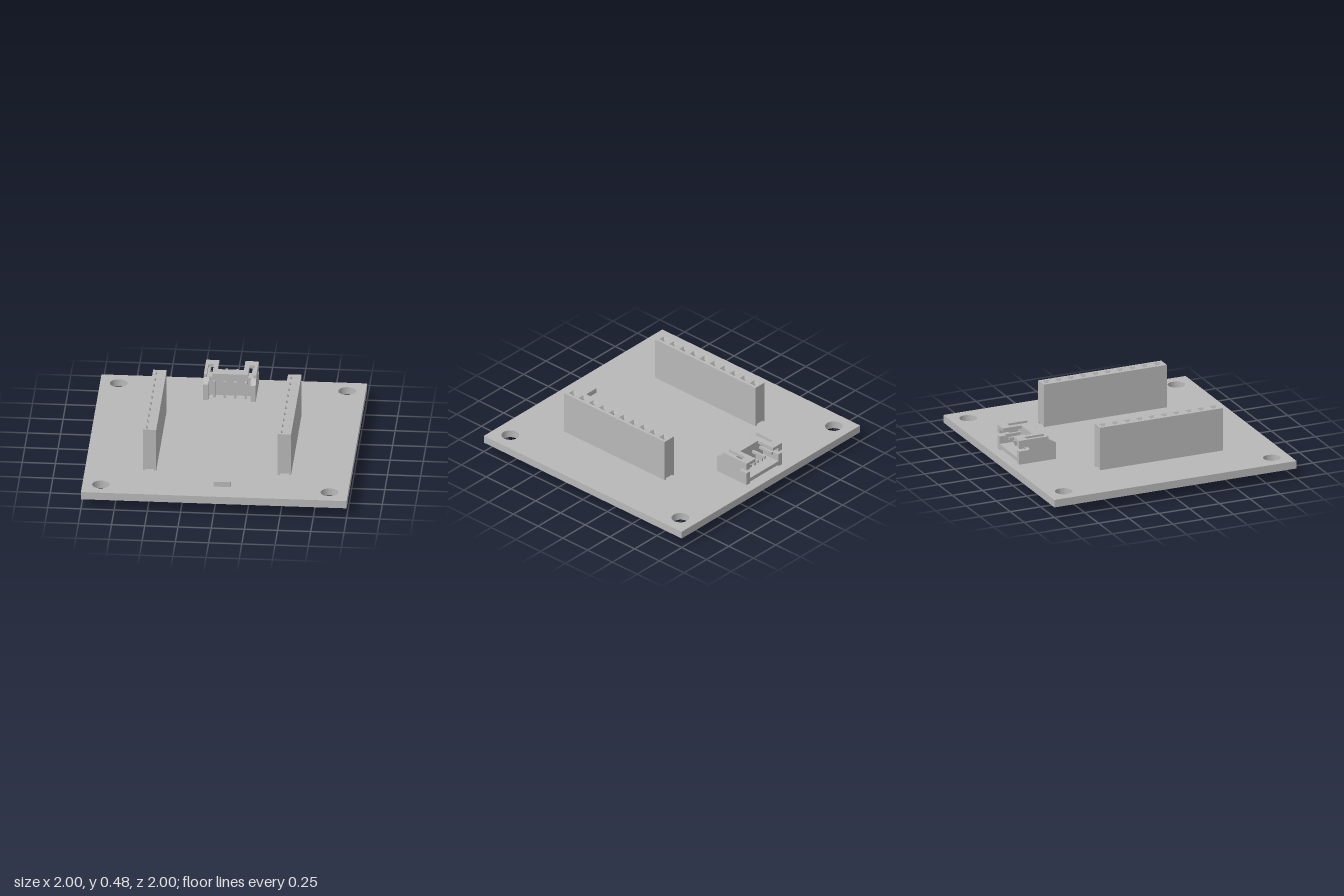
import * as THREE from 'three';

const grey = new THREE.MeshStandardMaterial({ color: 0xb8b8b8, side: THREE.DoubleSide });
grey.name = 'plain grey';

const PITCH = 0.1016;
const BOARD_TOP = 0.14;

function add(parent, name, geometry) {
  const mesh = new THREE.Mesh(geometry, grey);
  mesh.name = name;
  parent.add(mesh);
  return mesh;
}

// Box given by its lower and upper corners
function block(parent, name, x0, x1, y0, y1, z0, z1) {
  const mesh = add(parent, name, new THREE.BoxGeometry(x1 - x0, y1 - y0, z1 - z0));
  mesh.position.set((x0 + x1) / 2, (y0 + y1) / 2, (z0 + z1) / 2);
  return mesh;
}

const outline = (points) => points.map(([a, b]) => new THREE.Vector2(a, b));

// Plan outline in (x, z), raised from y0 to y1
function planGeometry(points, holes, y0, y1) {
  const flip = (list) => list.map(([x, z]) => [x, -z]);
  const shape = new THREE.Shape(outline(flip(points)));
  for (const hole of holes) shape.holes.push(new THREE.Path(outline(flip(hole))));
  return new THREE.ExtrudeGeometry(shape, { depth: y1 - y0, bevelEnabled: false, curveSegments: 24 })
    .rotateX(-Math.PI / 2).translate(0, y0, 0);
}

// Side outline in (z, y), running from x0 to x1
function sideGeometry(points, x0, x1) {
  return new THREE.ExtrudeGeometry(new THREE.Shape(outline(points)), { depth: x1 - x0, bevelEnabled: false })
    .rotateY(-Math.PI / 2).translate(x1, 0, 0);
}

const rect = (x0, x1, z0, z1) => [[x0, z0], [x1, z0], [x1, z1], [x0, z1]];

function circle(cx, cz, r, n = 40) {
  return Array.from({ length: n }, (_, i) => {
    const a = (i / n) * Math.PI * 2;
    return [cx + r * Math.cos(a), cz + r * Math.sin(a)];
  });
}

// Tapered solder tail below the board
function tail(parent, x, z, bottom, thick) {
  const w = 0.012;
  add(parent, 'solderPin', sideGeometry([
    [z - w, BOARD_TOP], [z - w, bottom + 0.03], [z - w * 0.5, bottom],
    [z + w * 0.5, bottom], [z + w, bottom + 0.03], [z + w, BOARD_TOP],
  ], x - thick / 2, x + thick / 2));
}

// Ten-way socket strip
function socketStrip(cx) {
  const strip = new THREE.Group();
  strip.name = 'socketStrip';
  const cz = 0.085, top = 0.48, half = 0.0508, length = PITCH * 5;
  const zs = Array.from({ length: 10 }, (_, i) => cz + (i - 4.5) * PITCH);
  const s = 0.027;
  add(strip, 'socketHousing', planGeometry(
    rect(cx - half, cx + half, cz - length, cz + length),
    zs.map((z) => rect(cx - s, cx + s, z - s, z + s)), 0.152, top));
  for (const side of [-1, 1]) {
    const a = cx + side * 0.034, b = cx + side * half;
    block(strip, 'housingFoot', Math.min(a, b), Math.max(a, b), BOARD_TOP, 0.152, cz - length, cz + length);
  }
  // Square funnel leading into each contact well
  const r = Math.SQRT2;
  const well = new THREE.LatheGeometry(
    outline([[0, 0.28], [0.016 * r, 0.28], [0.016 * r, 0.455], [s * r, top]]), 4, Math.PI / 4).toNonIndexed();
  well.computeVertexNormals();
  for (const z of zs) {
    add(strip, 'contactWell', well).position.set(cx, 0, z);
    tail(strip, cx, z, 0.015, 0.008);
  }
  return strip;
}

// Four-way side-entry connector, opening to the back
function connector() {
  const group = new THREE.Group();
  group.name = 'sideConnector';
  const x0 = -0.205, x1 = 0.19, wall = 0.04, back = -0.926, front = -0.692, mid = (x0 + x1) / 2;
  const ceiling = 0.305, top = 0.33;

  // Side walls with sloped front arms and a slot at the back
  const cheek = [
    [-0.624, BOARD_TOP], [-0.624, 0.272], [-0.685, ceiling], [back, ceiling], [back, 0.27],
    [-0.855, 0.27], [-0.842, 0.258], [-0.855, 0.245], [back, 0.245], [back, BOARD_TOP],
  ];
  add(group, 'connectorCheek', sideGeometry(cheek, x0, x0 + wall));
  add(group, 'connectorCheek', sideGeometry(cheek, x1 - wall, x1));

  // Roof with a wide back cut-out and two front slots
  const slot = [0.022, 0.063], slotBack = -0.855;
  add(group, 'connectorRoof', planGeometry([
    [x0, back], [-0.107, back], [-0.107, -0.773], [0.09, -0.773], [0.09, back], [x1, back],
    [x1, -0.685], [x1 - slot[0], -0.685], [x1 - slot[0], slotBack], [x1 - slot[1], slotBack], [x1 - slot[1], front],
    [x0 + slot[1], front], [x0 + slot[1], slotBack], [x0 + slot[0], slotBack], [x0 + slot[0], -0.685], [x0, -0.685],
  ], [], ceiling, top));

  block(group, 'connectorFloor', x0 + wall, x1 - wall, 0.154, 0.185, back, front);
  block(group, 'connectorWall', x0 + wall, x1 - wall, 0.185, ceiling, -0.773, front);

  // Bent contact pins
  for (let i = 0; i < 4; i++) {
    const x = mid + (i - 1.5) * 0.08, t = 0.009;
    block(group, 'contactPin', x - t, x + t, 0.252, 0.274, -0.9, -0.67);
    block(group, 'contactPin', x - t, x + t, BOARD_TOP, 0.253, -0.69, -0.67);
    tail(group, x, -0.677, 0, 0.018);
  }
  // Guide ribs between the pins
  for (let i = -1; i <= 1; i++) {
    const x = mid + i * 0.08;
    block(group, 'guideRib', x - 0.007, x + 0.007, 0.185, 0.22, -0.835, -0.773);
  }
  return group;
}

export function createModel() {
  const model = new THREE.Group();
  model.name = 'circuitBoard';

  // Board with four mounting holes
  const holes = [];
  for (const x of [-0.86, 0.86]) for (const z of [-0.86, 0.86]) holes.push(circle(x, z, 0.066));
  add(model, 'board', planGeometry(rect(-1, 1, -1, 1), holes, 0.08, BOARD_TOP));

  model.add(socketStrip(-0.515), socketStrip(0.5), connector());

  // Small surface component
  block(model, 'chip', -0.015, 0.114, BOARD_TOP, 0.18, 0.776, 0.829);
  return model;
}
